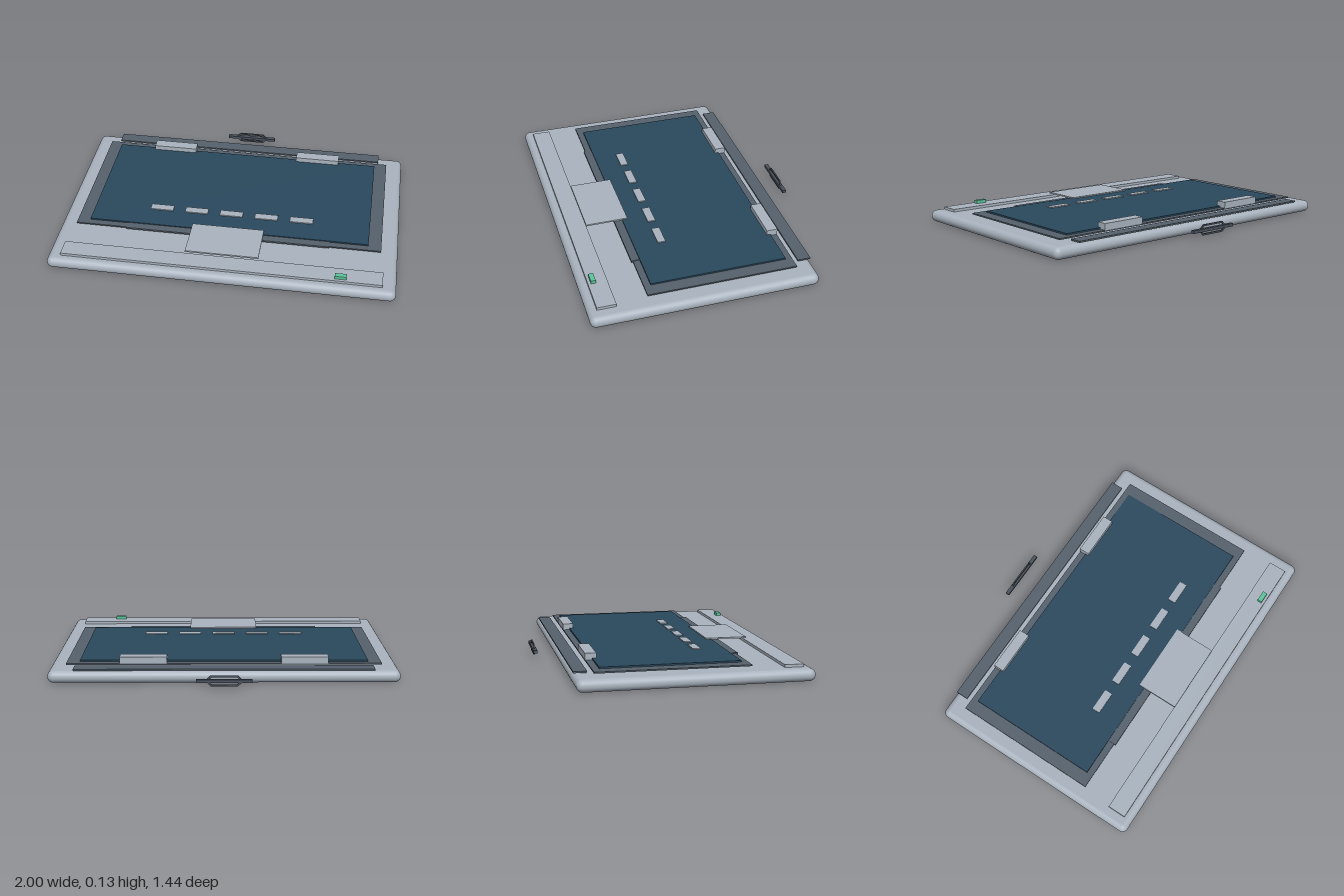
import * as THREE from 'three';
import { RoundedBoxGeometry } from 'three/addons/geometries/RoundedBoxGeometry.js';

const material = (name, color) => {
  const m = new THREE.MeshStandardMaterial({ color });
  m.name = name;
  return m;
};

export function createModel() {
  const model = new THREE.Group();
  model.name = 'tabletConsole';
  const silver = material('silver', 0xa9b3be);
  const slate = material('slate', 0x56616c);
  const charcoal = material('charcoal', 0x48515c);
  const blue = material('deepBlue', 0x2a485d);
  const green = material('statusGreen', 0x5cc49a);

  const add = (name, geometry, mat) => {
    const mesh = new THREE.Mesh(geometry, mat);
    mesh.name = name;
    model.add(mesh);
    return mesh;
  };
  // Box given by its limits on each axis
  const box = (name, mat, [x0, x1], [y0, y1], [z0, z1]) =>
    add(name, new THREE.BoxGeometry(x1 - x0, y1 - y0, z1 - z0), mat)
      .position.set((x0 + x1) / 2, (y0 + y1) / 2, (z0 + z1) / 2);

  // Rounded slab
  add('body', new RoundedBoxGeometry(2, 0.07, 1.305, 6, 0.0345), silver)
    .position.set(0, 0.035, 0.0675);

  // Screen stack
  box('screenFrame', slate, [-0.903, 0.903], [0.082, 0.09], [-0.48, 0.385]);
  box('screenLip', slate, [-0.6, 0.6], [0.084, 0.094], [0.345, 0.395]);
  box('screen', blue, [-0.828, 0.828], [0.09, 0.099], [-0.441, 0.347]);

  // Rear hinge bar and front strip
  box('hingeBar', slate, [-0.85, 0.85], [0.077, 0.086], [-0.583, -0.508]);
  box('frontStrip', silver, [-0.923, 0.923], [0.069, 0.086], [0.562, 0.671]);
  box('statusLight', green, [0.655, 0.721], [0.086, 0.105], [0.627, 0.655]);

  // Touch pad plate overlapping the screen edge
  box('touchPad', silver, [-0.213, 0.213], [0.097, 0.106], [0.315, 0.565]);

  // Row of keys
  for (let i = -2; i <= 2; i++) {
    const x = i * 0.211;
    box('key', silver, [x - 0.069, x + 0.069], [0.097, 0.105], [0.161, 0.208]);
  }

  // Rear blocks
  for (const s of [-1, 1]) {
    const x = s * 0.462;
    box('rearBlock', silver, [x - 0.135, x + 0.135], [0.09, 0.128], [-0.482, -0.418]);
  }

  // Free-standing clasp: cross bar through a thin ring
  box('claspBar', charcoal, [-0.155, 0.155], [0.046, 0.063], [-0.72, -0.697]);
  const oval = (Type, w, h, c) => {
    const pts = [[w, h - c], [w - c, h], [c - w, h], [-w, h - c],
      [-w, c - h], [c - w, -h], [w - c, -h], [w, c - h]];
    return new Type(pts.map(([x, y]) => new THREE.Vector2(x, y)));
  };
  const ring = oval(THREE.Shape, 0.095, 0.031, 0.02);
  ring.holes.push(oval(THREE.Path, 0.084, 0.021, 0.014));
  add('claspRing', new THREE.ExtrudeGeometry(ring, { depth: 0.008, bevelEnabled: false }), charcoal)
    .position.set(0, 0.055, -0.713);

  return model;
}
